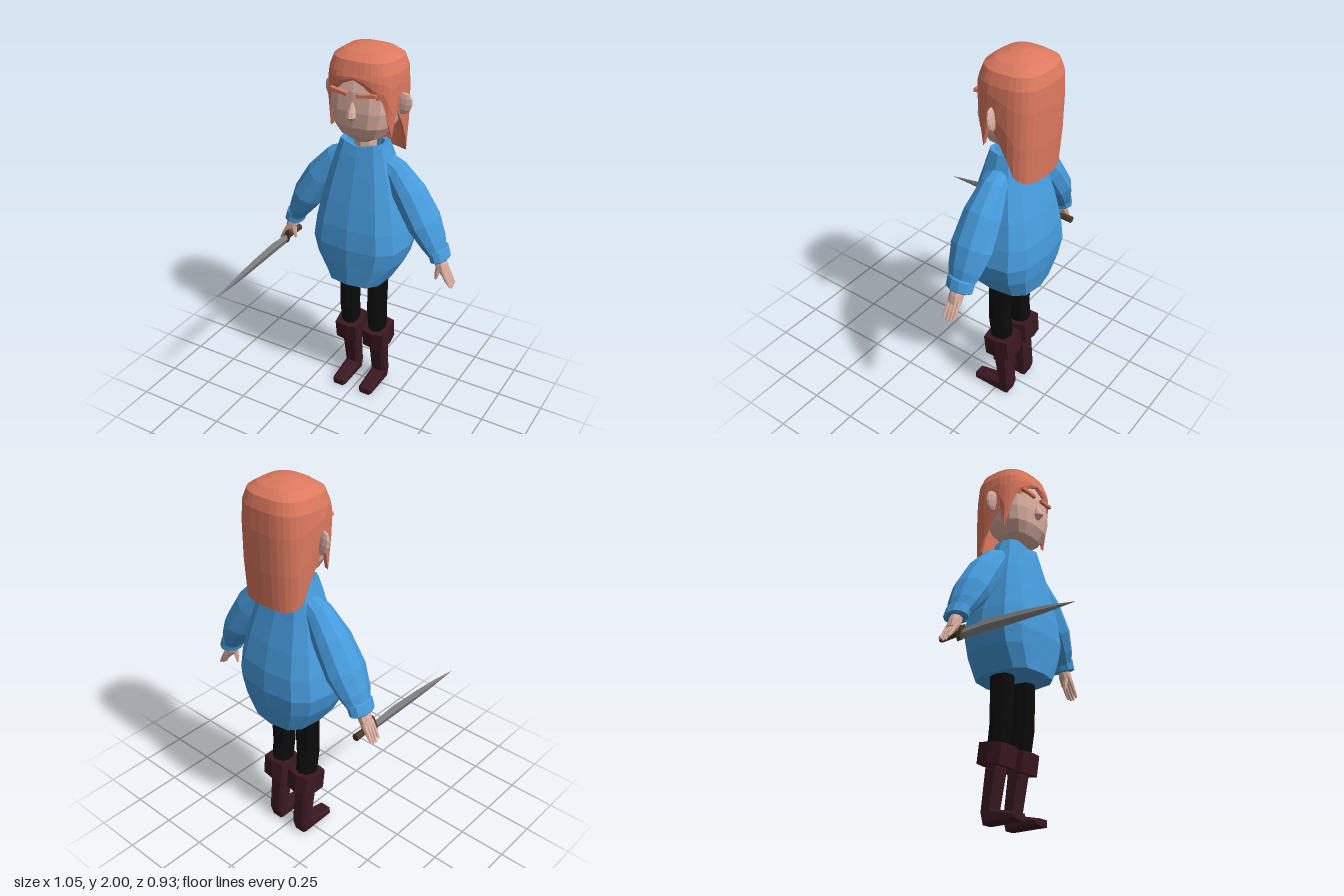
import * as THREE from 'three';

const mat = (color) => new THREE.MeshStandardMaterial({ color, flatShading: true, side: THREE.DoubleSide });
const V = (x, y, z) => new THREE.Vector3(x, y, z);
const spow = (v, e) => Math.sign(v) * Math.abs(v) ** e;

// Skin a list of equal-length rings, with optional fan caps
function loft(rings, capA = true, capB = true) {
  const n = rings[0].length, pos = [], idx = [];
  rings.forEach((r) => r.forEach((p) => pos.push(p.x, p.y, p.z)));
  for (let i = 0; i < rings.length - 1; i++)
    for (let j = 0; j < n; j++) {
      const a = i * n + j, b = i * n + (j + 1) % n;
      idx.push(a, b, b + n, a, b + n, a + n);
    }
  const cap = (k, flip) => {
    const c = V(0, 0, 0);
    rings[k].forEach((p) => c.addScaledVector(p, 1 / n));
    const m = pos.length / 3;
    pos.push(c.x, c.y, c.z);
    for (let j = 0; j < n; j++) {
      const a = k * n + j, b = k * n + (j + 1) % n;
      idx.push(m, flip ? b : a, flip ? a : b);
    }
  };
  if (capA) cap(0, true);
  if (capB) cap(rings.length - 1, false);
  const g = new THREE.BufferGeometry();
  g.setAttribute('position', new THREE.Float32BufferAttribute(pos, 3));
  g.setIndex(idx);
  g.computeVertexNormals();
  return g;
}

// Horizontal rounded ring: half width, front z, back z
function oval(n, [y, hw, zf, zb], cx = 0, p = 3) {
  return Array.from({ length: n }, (_, j) => {
    const a = (j / n) * Math.PI * 2;
    return V(cx + hw * spow(Math.cos(a), 2 / p), y, (zf + zb) / 2 - ((zf - zb) / 2) * spow(Math.sin(a), 2 / p));
  });
}
const stack = (n, rows, cx, p) => loft(rows.map((r) => oval(n, r, cx, p)));

// Limb bent in the x-y plane: rows are x, y, in-plane radius, z radius
function limb(s, rows, n = 10, z = -0.255) {
  const c = rows.map((r) => V(s * r[0], r[1], z));
  return loft(rows.map(([, , ru, rz], i) => {
    const d = c[Math.min(i + 1, c.length - 1)].clone().sub(c[Math.max(i - 1, 0)]).normalize();
    const v = V(0, 0, 1), u = v.clone().cross(d);
    return Array.from({ length: n }, (_, j) => {
      const a = ((j + 0.5) / n) * Math.PI * 2;
      return c[i].clone().addScaledVector(u, ru * Math.cos(a)).addScaledVector(v, rz * Math.sin(a));
    });
  }));
}

export function createModel() {
  const model = new THREE.Group();
  const wool = mat(0x469bdc), skin = mat(0xdcb0a2), hairMat = mat(0xdd795f), black = mat(0x0b0b0b);
  const leather = mat(0x3a1821), steel = mat(0x808080), wood = mat(0x4a3a25);
  const add = (name, geo, m, parent = model) => {
    const mesh = new THREE.Mesh(geo, m);
    mesh.name = name;
    parent.add(mesh);
    return mesh;
  };

  // Sweater body, closed at the hem
  add('sweater', stack(12, [
    [0.745, 0.165, -0.058, -0.43], [0.865, 0.235, -0.052, -0.452], [0.96, 0.26, -0.047, -0.463],
    [1.07, 0.245, -0.058, -0.452], [1.2, 0.218, -0.085, -0.42], [1.34, 0.182, -0.118, -0.375],
    [1.45, 0.145, -0.145, -0.345]]), wool);

  // Collar, dipping at the centre front
  const collar = [[1.43, 0.155, -0.14, -0.348], [1.515, 0.127, -0.162, -0.322],
    [1.51, 0.1, -0.18, -0.305], [1.45, 0.095, -0.185, -0.3]].map((r) => oval(12, r));
  collar.slice(1, 3).forEach((r) => { r[9].y -= 0.02; r[3].y -= 0.045; });
  add('collar', loft(collar, false, true), wool);

  // Neck and head
  add('neck', stack(8, [[1.42, 0.06, -0.19, -0.3], [1.6, 0.06, -0.19, -0.3]], 0, 2), skin);
  add('head', stack(16, [
    [1.52, 0.04, -0.18, -0.27], [1.56, 0.115, -0.137, -0.32], [1.62, 0.155, -0.108, -0.37],
    [1.7, 0.175, -0.1, -0.395], [1.8, 0.175, -0.106, -0.4], [1.9, 0.14, -0.135, -0.37]], 0, 2.7), skin);
  add('nose', loft([[1.66, 0.012, -0.085, -0.12], [1.68, 0.026, -0.066, -0.12],
    [1.705, 0.022, -0.074, -0.12], [1.75, 0.01, -0.098, -0.12]].map((r) => oval(8, r, 0, 2))), skin);

  // Hair: columns fall from the crown to a bottom edge that varies from front (0) to back (16)
  const edge = [1.86, 1.835, 1.8, 1.765, 1.75, 1.66, 1.57, 1.71, 1.63, 1.54, 1.46, 1.435, 1.425, 1.42, 1.42, 1.42, 1.42];
  const hairRow = (scale, yOf) => oval(32, [0, 0.19 * scale, -0.274 + 0.171 * scale, -0.274 - 0.171 * scale], 0, 2.8)
    .map((p, j) => {
      const k = (j + 8) % 32; // steps from the back centre once shifted
      const fromFront = Math.abs(16 - k) > 16 ? 0 : Math.abs(16 - k);
      p.y = yOf(edge[16 - Math.abs(16 - (fromFront + 0))] ?? 1.42, fromFront);
      return p;
    });
  // column j = 24 lies at the front centre, j = 8 at the back centre
  const bottom = (j) => edge[Math.min((j + 8) % 32, 32 - ((j + 8) % 32))];
  const rowAt = (scale, f) => {
    const r = oval(32, [0, 0.19 * scale, -0.274 + 0.171 * scale, -0.274 - 0.171 * scale], 0, 2.8);
    r.forEach((p, j) => { p.y = f(bottom(j)); });
    return r;
  };
  const hairRows = [
    rowAt(0.88, () => 1.87), rowAt(0.88, (b) => b + 0.01), rowAt(0.955, (b) => b),
    rowAt(1, (b) => b + (1.88 - b) * 0.4), rowAt(1, (b) => b + (1.88 - b) * 0.8), rowAt(0.965, () => 1.89),
    rowAt(0.86, () => 1.945), rowAt(0.62, () => 1.975), rowAt(0.3, () => 1.994), rowAt(0.05, () => 2)];
  add('hair', loft(hairRows, false, true), hairMat);

  // Plain dagger held in the right hand, blade along +z
  const dagger = new THREE.Group();
  dagger.name = 'dagger';
  model.add(dagger);
  const blade = [[-0.2, -0.462, 0.828, 0.011, 0.026], [-0.05, -0.461, 0.833, 0.012, 0.033],
    [0.15, -0.459, 0.826, 0.01, 0.028], [0.3, -0.457, 0.819, 0.007, 0.019], [0.465, -0.455, 0.81, 0.001, 0.001]];
  add('blade', loft(blade.map(([z, x, y, hx, hy]) =>
    [[1, 0], [0, 1], [-1, 0], [0, -1]].map(([a, b]) => V(x + a * hx, y + b * hy, z)))), steel, dagger);
  const guard = add('guard', new THREE.CylinderGeometry(0.05, 0.05, 0.02, 8), wood, dagger);
  guard.scale.set(0.36, 1, 1);
  guard.rotation.set(Math.PI / 2, -0.28, 0);
  guard.position.set(-0.462, 0.838, -0.195);
  const grip = add('grip', new THREE.CylinderGeometry(0.014, 0.018, 0.13, 8), wood, dagger);
  grip.rotation.x = Math.PI / 2;
  grip.position.set(-0.462, 0.838, -0.26);

  for (const s of [1, -1]) {
    const side = s > 0 ? 'left' : 'right';

    // Ear and eyebrow
    const ear = add(side + 'Ear', new THREE.SphereGeometry(1, 10, 6), skin);
    ear.scale.set(0.042, 0.06, 0.015);
    ear.rotation.set(0.12, s * 0.2, -s * 0.2);
    ear.position.set(s * 0.2, 1.735, -0.255);
    const brow = add(side + 'Eyebrow', new THREE.BoxGeometry(0.1, 0.016, 0.02), hairMat);
    brow.position.set(s * 0.075, 1.795, -0.106);
    brow.rotation.set(0, s * 0.12, s * 0.12);

    // Sleeve and cuff
    add(side + 'Sleeve', limb(s, [[0.1, 1.43, 0.035, 0.05], [0.165, 1.375, 0.07, 0.068], [0.255, 1.26, 0.087, 0.098],
      [0.34, 1.125, 0.085, 0.11], [0.395, 1.03, 0.063, 0.09], [0.425, 0.97, 0.044, 0.068]]), wool);
    add(side + 'Cuff', limb(s, [[0.422, 1.0, 0.045, 0.066], [0.424, 0.994, 0.051, 0.073],
      [0.441, 0.943, 0.051, 0.073], [0.443, 0.937, 0.044, 0.064]]), wool);

    // Hand: palm, thumb and a row of four fingers
    const hand = new THREE.Group();
    hand.name = side + 'Hand';
    model.add(hand);
    add('palm', limb(s, [[0.435, 0.96, 0.028, 0.03], [0.453, 0.91, 0.034, 0.036], [0.475, 0.868, 0.022, 0.036]], 8, -0.248), skin, hand);
    add('thumb', limb(s, [[0.445, 0.915, 0.016, 0.016], [0.436, 0.86, 0.013, 0.014], [0.43, 0.822, 0.005, 0.008]], 6, -0.235), skin, hand);
    for (let i = 0; i < 4; i++)
      add('finger', limb(s, [[0.468, 0.89, 0.014, 0.01], [0.497, 0.84, 0.012, 0.01],
        [0.52, 0.793 + (i % 3 ? 0 : 0.012), 0.005, 0.007]], 6, -0.221 - i * 0.018), skin, hand);

    // Leg with a slight knee bend
    const x = s * 0.085;
    add(side + 'Leg', stack(8, [[0.32, 0.046, -0.215, -0.32], [0.4, 0.047, -0.205, -0.318],
      [0.5, 0.049, -0.19, -0.308], [0.8, 0.052, -0.188, -0.315]], x, 2.6), black);

    // Boot from a side outline, with a tilted turn-down at the top
    const outline = new THREE.Shape([[-0.115, 0], [-0.115, 0.035], [-0.268, 0.07], [-0.222, 0.32], [-0.315, 0.32],
      [-0.342, 0.06], [-0.325, 0]].map(([z, y]) => new THREE.Vector2(-z, y)));
    const boot = new THREE.ExtrudeGeometry(outline, { depth: 0.056, bevelThickness: 0.014, bevelSize: 0.012, bevelOffset: -0.012, bevelSegments: 1 });
    boot.translate(0, 0, -0.028).rotateY(Math.PI / 2);
    add(side + 'Boot', boot, leather).position.x = x;
    const fold = [[0.28, 0.05, -0.215, -0.33], [0.28, 0.073, -0.196, -0.358],
      [0.39, 0.073, -0.181, -0.346], [0.39, 0.046, -0.2, -0.32]].map((r) => oval(8, r, x, 5));
    fold.flat().forEach((p) => { p.y -= (p.z + 0.27) * 0.18; });
    add(side + 'BootCuff', loft(fold), leather);
  }
  return model;
}
